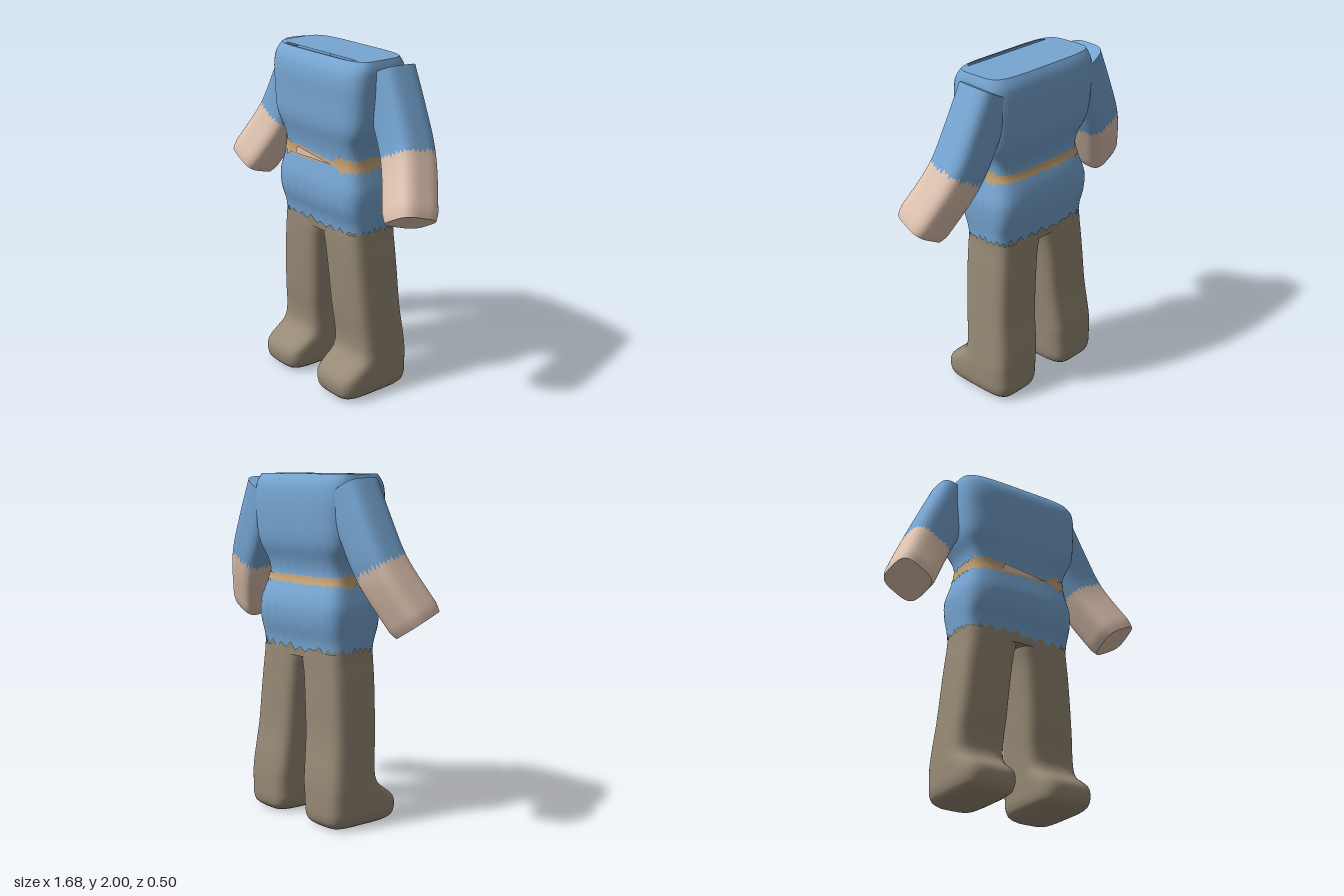
import * as THREE from 'three';

const M = 64; // points around every cross-section
const mat = (name, color) => {
  const m = new THREE.MeshStandardMaterial({ color, side: THREE.DoubleSide });
  m.name = name;
  return m;
};

// Point i of a unit rounded square, evenly spread round its four sides
function ringPoint(i, power) {
  const side = Math.floor((i * 4) / M), f = ((i * 4) / M - side) * 2 - 1;
  const [a, b] = [[1, f], [-f, 1], [-1, -f], [f, -1]][side];
  const k = Math.pow(Math.abs(a) ** power + Math.abs(b) ** power, -1 / power);
  return [a * k, b * k];
}

// Ragged edge, 0 to 1, fixed for each point round a section
const jag = (i) => {
  const h = Math.sin(i * 12.9898 + 4.1) * 43758.5453;
  return (i % 2 ? 0.55 : 0) + 0.45 * (h - Math.floor(h));
};

// Closed skin through rows of points; point(i, v) with v from 0 to 1
function loft(point, rows, capStart = false, capEnd = false) {
  const pos = [], idx = [];
  for (let r = 0; r <= rows; r++)
    for (let i = 0; i < M; i++) pos.push(...point(i, r / rows).toArray());
  for (let r = 0; r < rows; r++)
    for (let i = 0; i < M; i++) {
      const a = r * M + i, c = r * M + ((i + 1) % M);
      idx.push(a, a + M, c, c, a + M, c + M);
    }
  const cap = (v, flip) => {
    const base = pos.length / 3, mid = new THREE.Vector3();
    for (let i = 0; i < M; i++) {
      const p = point(i, v);
      mid.addScaledVector(p, 1 / M);
      pos.push(...p.toArray());
    }
    pos.push(...mid.toArray());
    for (let i = 0; i < M; i++) {
      const a = base + i, b = base + ((i + 1) % M);
      idx.push(base + M, flip ? b : a, flip ? a : b);
    }
  };
  if (capStart) cap(0, false);
  if (capEnd) cap(1, true);
  const g = new THREE.BufferGeometry();
  g.setAttribute('position', new THREE.Float32BufferAttribute(pos, 3));
  g.setIndex(idx);
  g.computeVertexNormals();
  return g;
}

// Smooth body outline from rows of [y, xMin, xMax, zMin, zMax]
function outline(rows, power) {
  const spline = new THREE.CubicInterpolant(rows.map((r) => r[0]), rows.flatMap((r) => r.slice(1)), 4);
  return (i, y, grow = 0) => {
    const [x0, x1, z0, z1] = spline.evaluate(y);
    const [a, b] = ringPoint(i, power);
    return new THREE.Vector3(
      (x0 + x1) / 2 + a * ((x1 - x0) / 2 + grow), y,
      (z0 + z1) / 2 + b * ((z1 - z0) / 2 + grow));
  };
}

export function createModel() {
  const group = new THREE.Group();
  const blue = mat('tunicBlue', 0x76a5d2);
  const brown = mat('trouserBrown', 0x968975);
  const skin = mat('skin', 0xe0c4b1);
  const tan = mat('beltTan', 0xc3a173);
  const add = (name, geometry, material) => {
    const mesh = new THREE.Mesh(geometry, material);
    mesh.name = name;
    group.add(mesh);
  };
  const lerp = THREE.MathUtils.lerp;

  // Tunic with a ragged hem
  const torso = outline([
    [0.96, -0.35, 0.35, -0.2, 0.135],
    [1.05, -0.355, 0.355, -0.205, 0.145],
    [1.15, -0.365, 0.365, -0.23, 0.175],
    [1.25, -0.365, 0.365, -0.235, 0.18],
    [1.33, -0.345, 0.345, -0.215, 0.165],
    [1.42, -0.325, 0.325, -0.18, 0.148],
    [1.5, -0.335, 0.335, -0.19, 0.16],
    [1.6, -0.38, 0.38, -0.225, 0.185],
    [1.75, -0.4, 0.4, -0.24, 0.19],
    [1.9, -0.405, 0.405, -0.238, 0.188],
    [1.96, -0.4, 0.4, -0.225, 0.17],
    [2.0, -0.385, 0.385, -0.2, 0.14],
  ], 5);
  add('tunic', loft((i, v) => torso(i, lerp(0.985 + 0.05 * jag(i), 2, v)), 44), blue);

  // Flat tunic top with a narrow slot near the front
  const top = new THREE.Shape();
  for (let i = 0; i < M; i++) {
    const p = torso(i, 2);
    i ? top.lineTo(p.x, -p.z) : top.moveTo(p.x, -p.z);
  }
  const slot = new THREE.Path();
  slot.moveTo(-0.31, -0.1).lineTo(0.31, -0.1).lineTo(0.28, -0.128).lineTo(-0.28, -0.128).closePath();
  top.holes.push(slot);
  add('tunicTop', new THREE.ShapeGeometry(top).rotateX(-Math.PI / 2).translate(0, 2, 0), blue);

  // Belt, ragged at the edges and tapering across the front
  add('belt', loft((i, v) => {
    const p = torso(i, 1.4), front = p.z > 0.1 && Math.abs(p.x) < 0.19;
    const back = p.z < -0.12;
    const f = (p.x + 0.19) / 0.38;
    const lo = front ? lerp(1.37, 1.39, f) : back ? 1.37 + 0.02 * jag(i) : 1.345 + 0.05 * jag(i);
    const hi = front ? lerp(1.445, 1.405, f) : back ? 1.425 : 1.425 + 0.035 * jag(i + 7);
    return torso(i, lerp(lo, hi, v), 0.005);
  }, 4), tan);

  // Pale wedge on the belt
  const wedge = new THREE.Shape([[-0.16, 1.385], [0.17, 1.395], [-0.14, 1.432]].map((p) => new THREE.Vector2(...p)));
  add('beltWedge', new THREE.ShapeGeometry(wedge).translate(0, 0, 0.163), skin);

  // Hips joining the legs under the hem
  add('hips', loft((i, v) => torso(i, lerp(0.96, 1.1, v), -0.006), 4, true), brown);

  for (const s of [1, -1]) {
    const sideName = s > 0 ? 'left' : 'right';

    // Trouser leg running into a rounded foot
    const leg = outline([
      [0.0, 0.14, 0.37, -0.2, 0.2],
      [0.02, 0.105, 0.4, -0.228, 0.232],
      [0.06, 0.085, 0.418, -0.243, 0.248],
      [0.11, 0.08, 0.422, -0.246, 0.248],
      [0.14, 0.079, 0.421, -0.246, 0.235],
      [0.18, 0.078, 0.42, -0.245, 0.185],
      [0.22, 0.077, 0.417, -0.244, 0.13],
      [0.26, 0.075, 0.413, -0.242, 0.105],
      [0.32, 0.073, 0.408, -0.236, 0.098],
      [0.5, 0.06, 0.392, -0.215, 0.113],
      [0.75, 0.04, 0.37, -0.205, 0.127],
      [0.88, 0.024, 0.357, -0.2, 0.132],
      [0.94, 0.01, 0.35, -0.198, 0.133],
      [1.0, 0.0, 0.346, -0.196, 0.132],
    ].map(([y, a, b, c, d]) => [y, s > 0 ? a : -b, s > 0 ? b : -a, c, d]), 4.5);
    add(sideName + 'Leg', loft((i, v) => leg(i, v * v * 0.3 + v * 0.7), 50, true), brown);

    // Arm: sleeve and bare forearm share one path, split at a ragged cuff
    const path = new THREE.CatmullRomCurve3([
      [0.355, 1.92, -0.085], [0.46, 1.71, -0.075], [0.57, 1.49, -0.05], [0.73, 1.19, 0.07],
    ].map(([x, y, z]) => new THREE.Vector3(s * x, y, z)));
    const arm = (i, t) => {
      const dir = path.getTangent(t);
      const across = new THREE.Vector3().crossVectors(dir, new THREE.Vector3(0, 0, 1)).normalize();
      const deep = new THREE.Vector3().crossVectors(across, dir);
      const [a, b] = ringPoint(i, 3.6);
      const end = t > 0.96 ? 1 - (t - 0.96) * 2 : 1;
      return path.getPoint(t)
        .addScaledVector(across, a * lerp(0.138, 0.128, t) * end)
        .addScaledVector(deep, b * lerp(0.125, 0.13, t) * end);
    };
    const cuff = (i) => 0.625 + 0.05 * jag(i);
    add(sideName + 'Sleeve', loft((i, v) => arm(i, v * cuff(i)), 16, true), blue);
    add(sideName + 'Forearm', loft((i, v) => arm(i, lerp(cuff(i), 1, v)), 14, false, true), skin);
  }
  return group;
}
